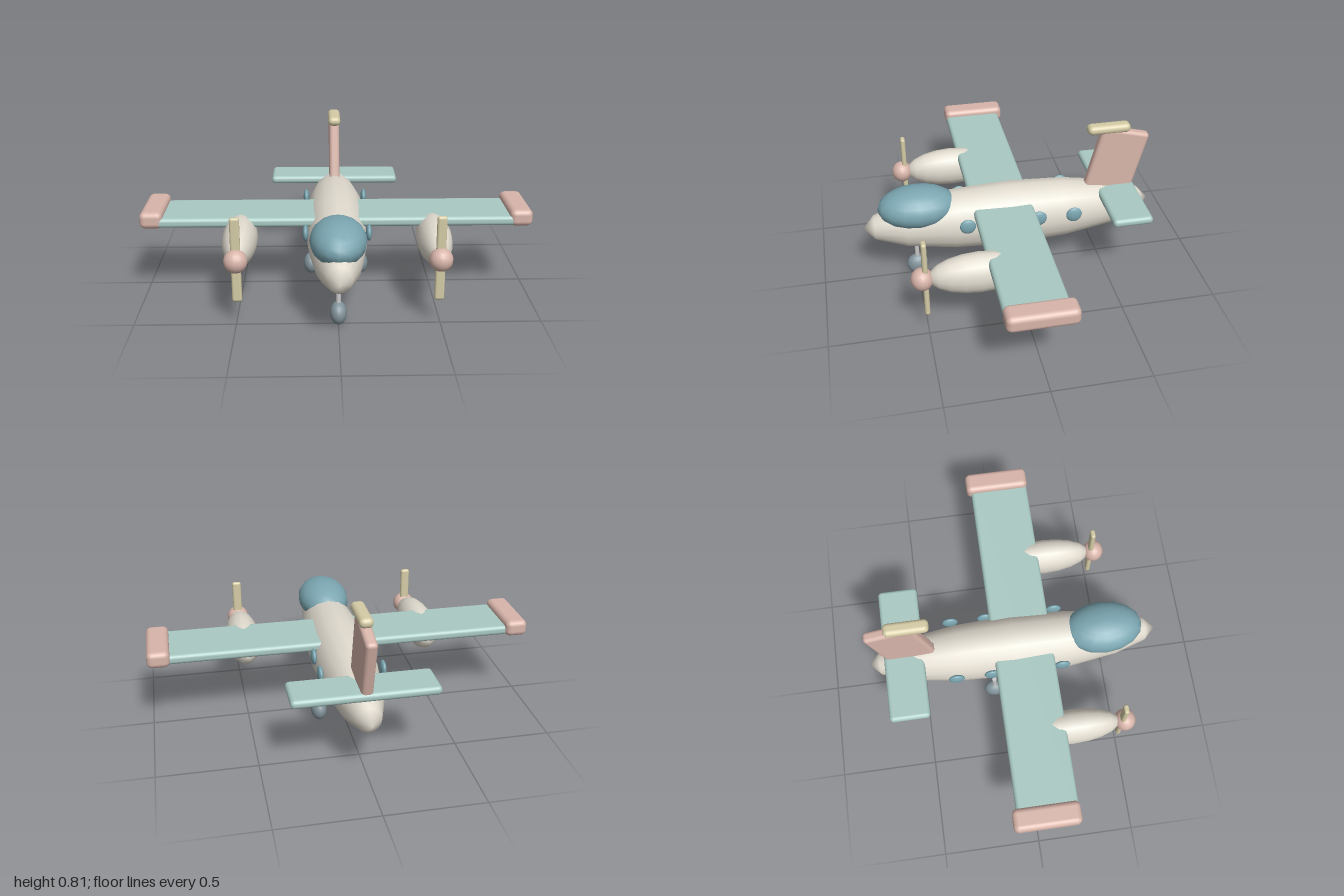
import * as THREE from 'three';
import { RoundedBoxGeometry } from 'three/addons/geometries/RoundedBoxGeometry.js';

const mat = (color) => new THREE.MeshStandardMaterial({ color });
const cream = mat(0xe0dace);
const teal = mat(0xa9c9c3);
const glass = mat(0x7ba6b1);
const pink = mat(0xd8b5aa);
const sand = mat(0xd5cca6);
const tyre = mat(0x83949b);
const metal = mat(0xcccccc);

export function createModel() {
  const plane = new THREE.Group();
  plane.name = 'airplane';

  const add = (name, geometry, material, x, y, z) => {
    const mesh = new THREE.Mesh(geometry, material);
    mesh.name = name;
    mesh.position.set(x, y, z);
    plane.add(mesh);
    return mesh;
  };
  const box = (w, h, d, r) => new RoundedBoxGeometry(w, h, d, 3, r);
  // Ellipsoid with its poles along z
  const spindle = (rx, ry, rz, around, along) =>
    new THREE.SphereGeometry(1, around, along).rotateX(Math.PI / 2).scale(rx, ry, rz);
  const ball = (rx, ry, rz) => new THREE.SphereGeometry(1, 16, 12).scale(rx, ry, rz);

  // Body and canopy
  add('fuselage', spindle(0.16, 0.175, 0.77, 16, 8), cream, 0, 0.325, 0);
  add('canopy', ball(0.139, 0.107, 0.208), glass, 0, 0.43, 0.48);

  // Wing and tail surfaces
  add('wing', box(1.95, 0.05, 0.312, 0.02), teal, 0, 0.414, 0.047);
  add('tailplane', box(0.72, 0.044, 0.208, 0.02), teal, 0, 0.423, -0.577);
  const fin = add('tailFin', box(0.057, 0.36, 0.26, 0.02), pink, 0, 0.589, -0.578);
  fin.rotation.x = -0.25;
  add('finCap', box(0.068, 0.05, 0.226, 0.024), sand, 0, 0.781, -0.527);

  for (const [label, s] of [['left', 1], ['right', -1]]) {
    add(label + 'WingTip', box(0.115, 0.086, 0.34, 0.028), pink, s * 0.9425, 0.428, 0.037);

    // Engine with spinner and two-bladed propeller
    add(label + 'Nacelle', spindle(0.089, 0.108, 0.25, 16, 10), cream, s * 0.49, 0.343, 0.24);
    add(label + 'Spinner', ball(0.058, 0.058, 0.055), pink, s * 0.49, 0.342, 0.519);
    add(label + 'Propeller', box(0.048, 0.43, 0.026, 0.012), sand, s * 0.49, 0.342, 0.503);

    // Cabin windows
    for (const z of [-0.318, -0.13, 0.056, 0.242]) {
      add(label + 'Window', ball(0.016, 0.042, 0.042), glass, s * 0.16, 0.376, z);
    }
  }

  // Landing gear: one nose wheel, two main wheels
  for (const [label, x, z] of [['nose', 0, 0.5], ['leftMain', 0.135, -0.12], ['rightMain', -0.135, -0.12]]) {
    add(label + 'Strut', new THREE.CylinderGeometry(0.012, 0.012, 0.15, 10), metal, x, 0.13, z);
    add(label + 'Wheel', ball(0.042, 0.058, 0.058), tyre, x, 0.058, z);
  }

  return plane;
}
